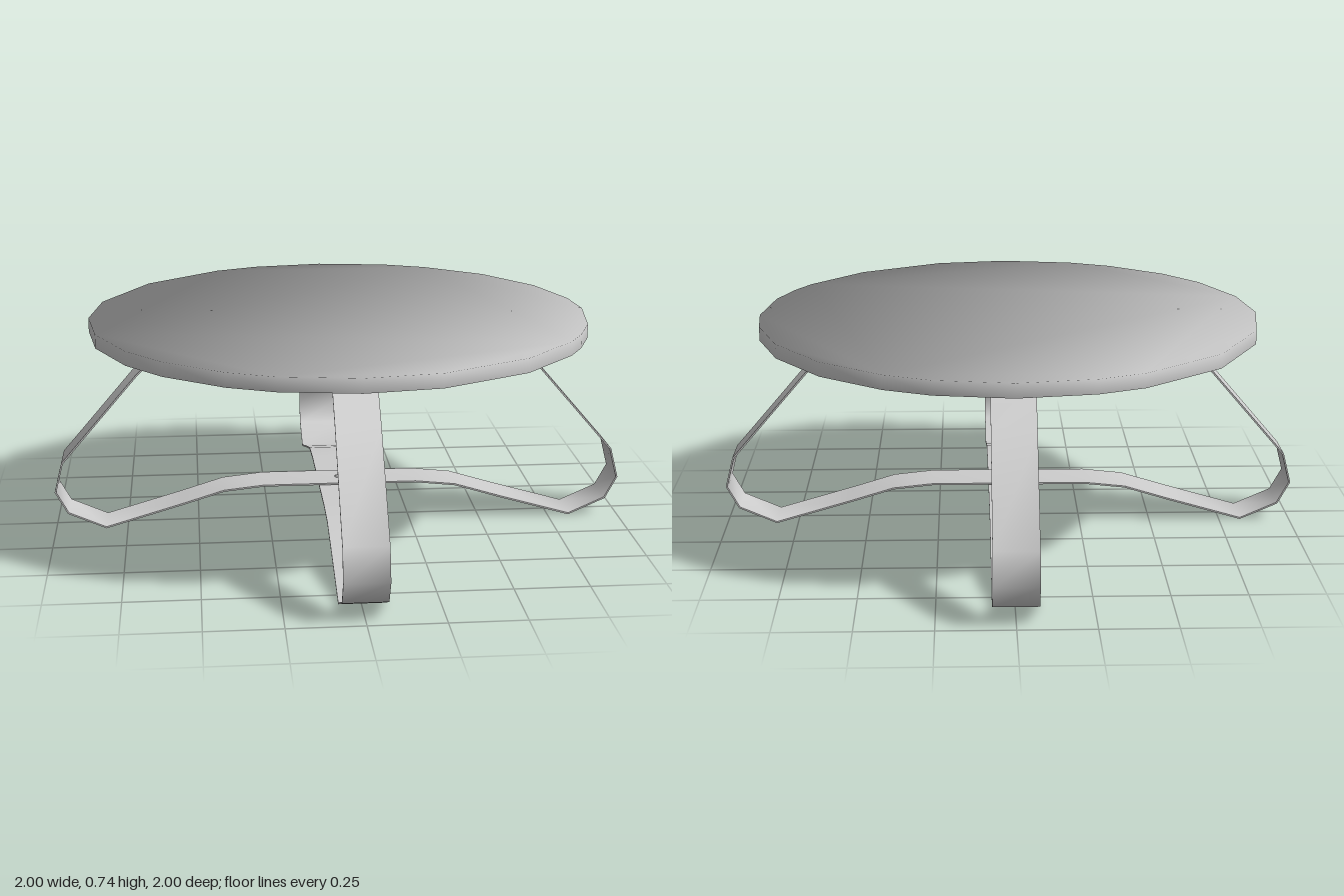
import * as THREE from 'three';
import { toCreasedNormals } from 'three/addons/utils/BufferGeometryUtils.js';

const TOP_RADIUS = 0.862;
const TOP_THICKNESS = 0.048;
const BAND_WIDTH = 0.146;
const BAND_THICKNESS = 0.006;
const BEND_CREASE = 0.76; // smooths the foot bends, keeps the flange fold and edges sharp

// Round top with unevenly spaced facets and soft normals running over the rim
function topGeometry() {
  const angles = [0, 11, 27, 45, 62, 73, 90, 107, 118, 140.5, 163, 180,
    196, 213, 225.5, 241.5, 252.5, 270, 287, 309, 327, 334, 344];
  const rim = angles.map((deg) => {
    const a = THREE.MathUtils.degToRad(deg);
    return new THREE.Vector2(Math.cos(a), Math.sin(a)).multiplyScalar(TOP_RADIUS);
  });
  const geo = new THREE.ExtrudeGeometry(new THREE.Shape(rim), { depth: TOP_THICKNESS, bevelEnabled: false });
  geo.rotateX(-Math.PI / 2);

  // Normals lean outward at the rim, a little up on top and a little down below
  const { position, normal } = geo.attributes;
  const n = new THREE.Vector3();
  for (let i = 0; i < position.count; i++) {
    const lean = position.getY(i) > TOP_THICKNESS / 2 ? 0.33 : -0.1;
    n.set(position.getX(i) / TOP_RADIUS, lean, position.getZ(i) / TOP_RADIUS).normalize();
    normal.setXYZ(i, n.x, n.y, n.z);
  }
  return geo;
}

// Thin bent strip: offsets an open path to both sides and extrudes it across its width
function bandGeometry(path) {
  const pts = path.map(([x, y]) => new THREE.Vector2(x, y));
  const outer = [], inner = [];
  pts.forEach((p, i) => {
    const a = pts[Math.max(i - 1, 0)], b = pts[Math.min(i + 1, pts.length - 1)];
    const t = b.clone().sub(a).normalize();
    const n = new THREE.Vector2(-t.y, t.x).multiplyScalar(BAND_THICKNESS / 2);
    outer.push(p.clone().add(n));
    inner.push(p.clone().sub(n));
  });
  const geo = new THREE.ExtrudeGeometry(new THREE.Shape([...outer, ...inner.reverse()]), {
    depth: BAND_WIDTH, bevelEnabled: false,
  });
  geo.translate(0, 0, -BAND_WIDTH / 2);
  return toCreasedNormals(geo, BEND_CREASE);
}

export function createModel() {
  const group = new THREE.Group();
  const grey = new THREE.MeshStandardMaterial({ color: 0xcccccc });
  grey.name = 'grey';

  const add = (parent, name, geo, x = 0, y = 0, z = 0) => {
    const mesh = new THREE.Mesh(geo, grey);
    mesh.name = name;
    mesh.position.set(x, y, z);
    parent.add(mesh);
  };

  add(group, 'tableTop', topGeometry(), 0, 0.697, 0);

  // Two crossing leg bands: mounting flange, sloping leg, rounded foot, arched stretcher
  const bolt = new THREE.CylinderGeometry(0.014, 0.011, 0.01, 8);
  for (const [name, drop, turn] of [['sideLegs', 0, 0], ['frontBackLegs', 0.009, Math.PI / 2]]) {
    const half = [[0.3, 0.677], [0.578, 0.677], [0.705, 0.553], [0.97, 0.245], [0.997, 0.14],
      [0.955, 0.062], [0.825, 0.005], [0.56, 0.082], [0.41, 0.128 - drop / 2], [0.27, 0.143 - drop]];
    const mirrored = half.map(([x, y]) => [-x, y]).reverse();
    const legs = new THREE.Group();
    legs.name = name;
    legs.rotation.y = turn;
    add(legs, 'legBand', bandGeometry([...half, ...mirrored]));

    // Bolt heads under the flanges
    for (const side of [-1, 1]) {
      for (const x of [0.375, 0.457]) add(legs, 'flangeBolt', bolt, side * x, 0.669, 0);
    }
    group.add(legs);
  }

  // Fastener joining the bands where they cross
  add(group, 'centreBolt', new THREE.CylinderGeometry(0.011, 0.014, 0.006, 8), 0, 0.148, 0);
  add(group, 'centreNut', new THREE.CylinderGeometry(0.018, 0.018, 0.008, 6), 0, 0.128, 0);

  return group;
}
